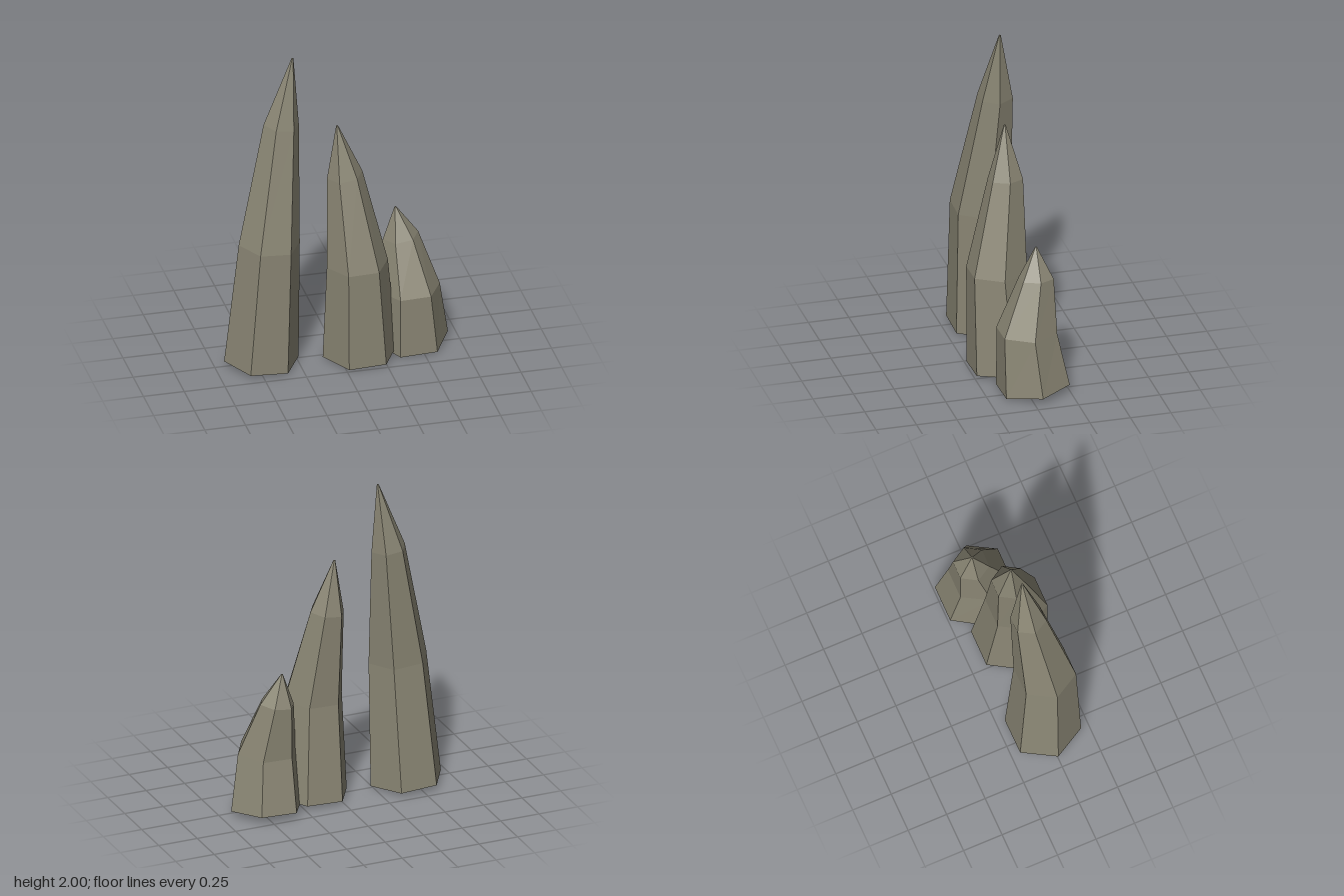
import * as THREE from 'three';

// Each ring: [centre x, centre y, centre z, radius, slope along x, slope along z]
const SPIKES = {
  tallSpike: [
    [-0.465, 0.027, 0, 0.228, -0.055, -0.03],
    [-0.424, 0.815, 0.03, 0.187, -0.06, 0],
    [-0.334, 1.57, -0.037, 0.108, -0.1, 0],
    [-0.263, 2, -0.046, 0.006, 0, 0],
  ],
  middleSpike: [
    [0.128, 0.022, 0.04, 0.227, 0.04, -0.04],
    [0.104, 0.635, 0.076, 0.187, 0.03, 0.03],
    [0.044, 1.205, 0.005, 0.108, 0.13, 0],
    [0, 1.535, -0.003, 0.006, 0, 0],
  ],
  shortSpike: [
    [0.464, 0.031, -0.048, 0.226, 0.04, -0.11],
    [0.445, 0.383, -0.015, 0.187, 0.03, 0.03],
    [0.408, 0.705, -0.083, 0.108, 0.13, 0],
    [0.379, 0.895, -0.09, 0.006, 0, 0],
  ],
};

// A six-sided column whose rings are moved, scaled and tilted into a leaning spike
function spikeGeometry(rings) {
  const geometry = new THREE.CylinderGeometry(1, 1, 1, 6, rings.length - 1, false, Math.PI / 2);
  const p = geometry.attributes.position;
  for (let i = 0; i < p.count; i++) {
    const ring = rings[Math.round((p.getY(i) + 0.5) * (rings.length - 1))];
    const [cx, cy, cz, r, slopeX, slopeZ] = ring;
    const dx = p.getX(i) * r;
    const dz = p.getZ(i) * r;
    p.setXYZ(i, cx + dx, cy + slopeX * dx + slopeZ * dz, cz + dz);
  }
  geometry.computeVertexNormals();
  return geometry;
}

export function createModel() {
  const group = new THREE.Group();
  group.name = 'rockSpikes';
  const stone = new THREE.MeshStandardMaterial({ color: 0x8a8674, flatShading: true });
  stone.name = 'stone';

  for (const [name, rings] of Object.entries(SPIKES)) {
    const spike = new THREE.Mesh(spikeGeometry(rings), stone);
    spike.name = name;
    group.add(spike);
  }
  return group;
}
